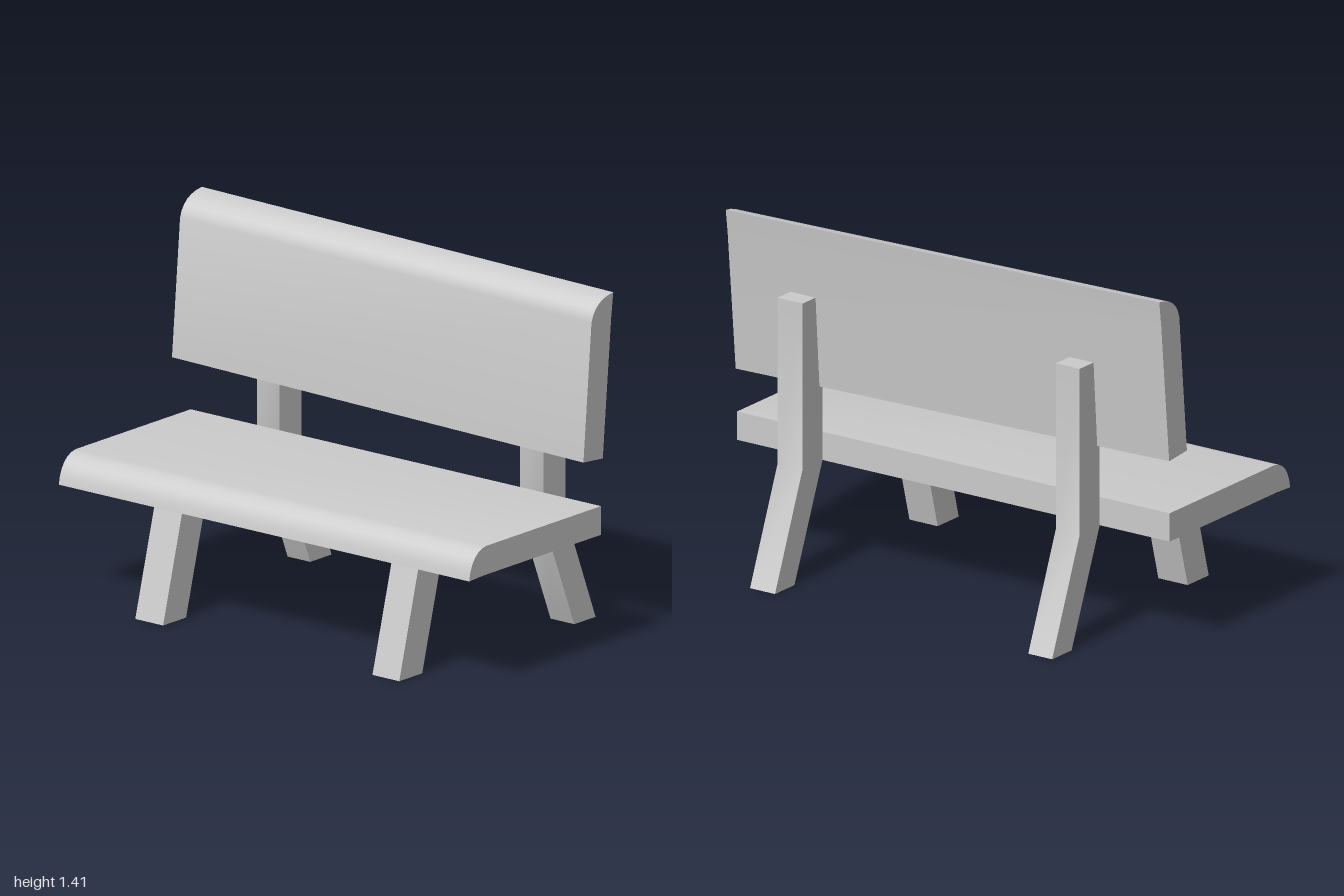
import * as THREE from 'three';
import { toCreasedNormals } from 'three/addons/utils/BufferGeometryUtils.js';

const material = new THREE.MeshStandardMaterial({ color: 0xcccccc });

// Side profile (x, y) extruded along z from z0 to z1.
function extrudeProfile(shape, z0, z1) {
  const geometry = new THREE.ExtrudeGeometry(shape, {
    depth: z1 - z0, bevelEnabled: false, curveSegments: 6,
  });
  return geometry.translate(0, 0, z0);
}

const polygon = (points) => new THREE.Shape(points.map(([x, y]) => new THREE.Vector2(x, y)));

function addPart(group, name, geometry) {
  const mesh = new THREE.Mesh(toCreasedNormals(geometry, 0.6), material);
  mesh.name = name;
  group.add(mesh);
}

export function createModel() {
  const bench = new THREE.Group();
  bench.name = 'bench';

  // Seat plank with a rounded front edge
  const seat = new THREE.Shape();
  seat.moveTo(-0.525, 0.44);
  seat.lineTo(-0.44, 0.444);
  seat.lineTo(0.25, 0.444);
  seat.lineTo(0.25, 0.556);
  seat.lineTo(-0.425, 0.556);
  seat.bezierCurveTo(-0.48, 0.551, -0.515, 0.51, -0.525, 0.44);
  addPart(bench, 'seat', extrudeProfile(seat, -0.99, 1));

  // Leaning backrest with a rounded top edge
  const back = new THREE.Shape();
  back.moveTo(0.156, 0.762);
  back.lineTo(0.27, 0.752);
  back.lineTo(0.308, 1.297);
  back.lineTo(0.318, 1.392);
  back.bezierCurveTo(0.245, 1.386, 0.205, 1.355, 0.192, 1.301);
  back.lineTo(0.156, 0.762);
  const backGeometry = extrudeProfile(back, -0.995, 0.995);
  // The plank is mounted slightly askew: one end sits higher
  const p = backGeometry.attributes.position;
  for (let i = 0; i < p.count; i++) {
    const x = p.getX(i), y = p.getY(i), z = p.getZ(i);
    p.setXYZ(i, x + 0.003 * z, y - 0.0175 * z, z + 0.0175 * (y - 1.07));
  }
  backGeometry.computeVertexNormals();
  addPart(bench, 'backrest', backGeometry);

  // Slanted front legs
  const frontLeg = polygon([[-0.56, 0], [-0.425, 0], [-0.305, 0.444], [-0.44, 0.444]]);
  addPart(bench, 'frontLegLeft', extrudeProfile(frontLeg, 0.56, 0.69));
  addPart(bench, 'frontLegRight', extrudeProfile(frontLeg, -0.59, -0.455));

  // Bent rear legs that carry on up as backrest posts
  const rearLeg = polygon([
    [0.432, 0], [0.557, 0], [0.38, 0.444], [0.38, 1.1], [0.252, 1.1], [0.252, 0.444],
  ]);
  addPart(bench, 'rearLegLeft', extrudeProfile(rearLeg, 0.605, 0.72));
  addPart(bench, 'rearLegRight', extrudeProfile(rearLeg, -0.67, -0.56));

  return bench;
}
